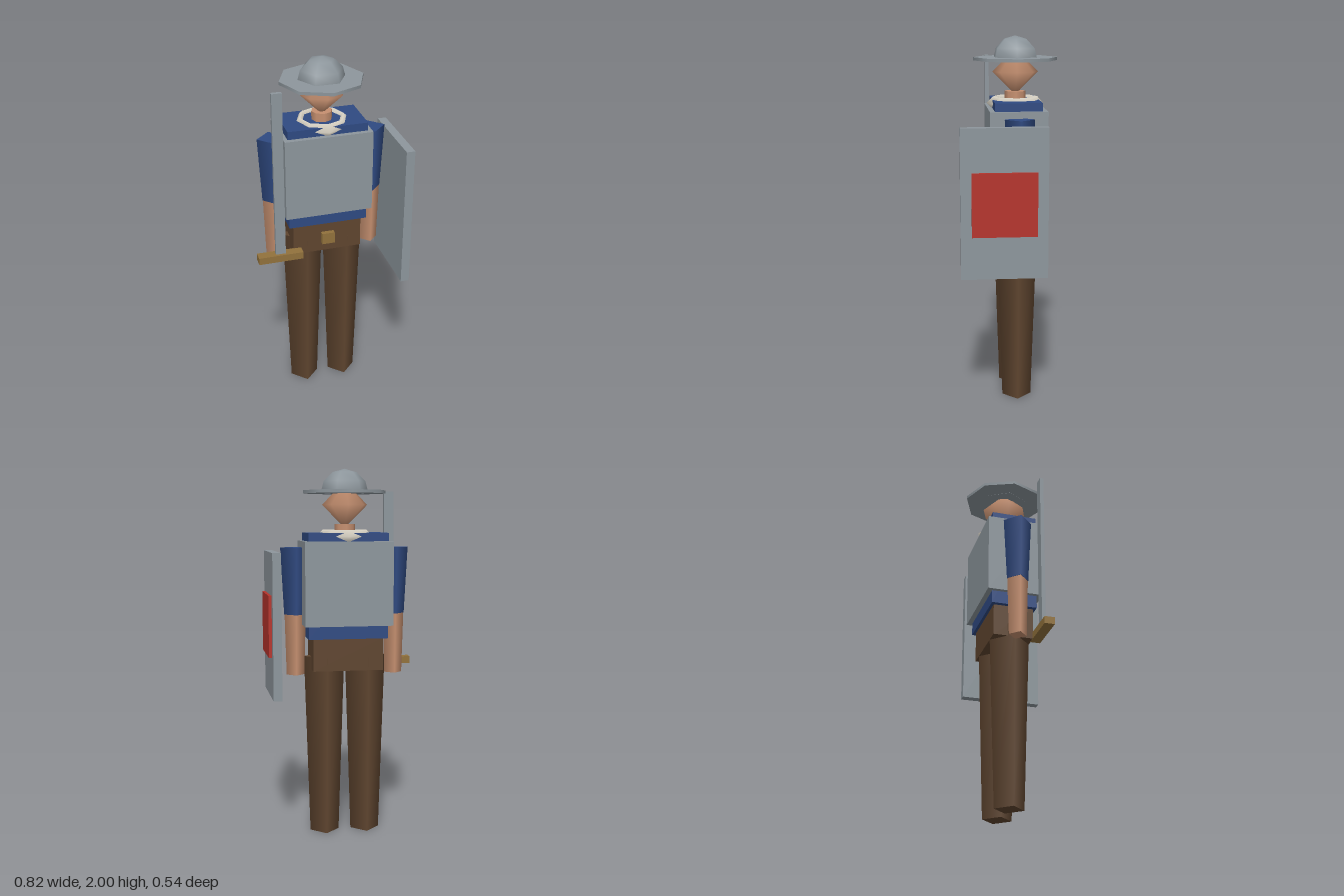
import * as THREE from 'three';

const mat = (name, color) => {
  const m = new THREE.MeshStandardMaterial({ color });
  m.name = name;
  return m;
};

export function createModel() {
  const steel = mat('steel', 0x8d969c);
  const cloth = mat('blueCloth', 0x2f4a82);
  const skin = mat('skin', 0xc69070);
  const leather = mat('brownLeather', 0x5f452f);
  const brass = mat('brass', 0x92723c);
  const red = mat('redPaint', 0xb5342c);
  const linen = mat('linen', 0xdcd6c8);

  const model = new THREE.Group();
  model.name = 'footSoldier';

  // The figure stands slightly off the origin because of the shield and sword
  const CX = -0.015, CZ = -0.047;

  const add = (name, geometry, material, x, y, z) => {
    const mesh = new THREE.Mesh(geometry, material);
    mesh.name = name;
    mesh.position.set(x, y, z);
    model.add(mesh);
    return mesh;
  };
  // Box given by its limits on each axis
  const box = (name, material, [x0, x1], [y0, y1], [z0, z1]) =>
    add(name, new THREE.BoxGeometry(x1 - x0, y1 - y0, z1 - z0), material,
      (x0 + x1) / 2, (y0 + y1) / 2, (z0 + z1) / 2);
  // Upright tapered limb between two heights
  const limb = (name, material, x, y0, y1, rBottom, rTop, sides = 4) =>
    add(name, new THREE.CylinderGeometry(rTop, rBottom, y1 - y0, sides), material,
      x, (y0 + y1) / 2, CZ);

  // Torso
  box('tunic', cloth, [-0.232, 0.201], [1.094, 1.66], [-0.173, 0.078]);
  box('breastplate', steel, [-0.254, 0.223], [1.165, 1.616], [-0.201, 0.105]);
  box('hips', leather, [-0.208, 0.174], [0.919, 1.094], [-0.157, 0.063]);
  box('buckle', brass, [-0.052, 0.019], [0.972, 1.036], [0.05, 0.09]);

  // Legs and arms
  for (const [side, s] of [['left', 1], ['right', -1]]) {
    limb(side + 'Leg', leather, CX + s * 0.114, 0, 0.99, 0.08, 0.112);
    limb(side + 'Sleeve', cloth, CX + s * 0.273, 1.22, 1.582, 0.06, 0.079);
    limb(side + 'Forearm', skin, CX + s * 0.273, 0.89, 1.22, 0.049, 0.058);
  }

  // Collar, neck and head
  const collar = add('collar', new THREE.TorusGeometry(0.12, 0.035, 4, 8), linen, CX, 1.641, CZ);
  collar.rotation.x = Math.PI / 2;
  limb('neck', skin, CX, 1.64, 1.706, 0.056, 0.056, 8);
  add('head', new THREE.SphereGeometry(0.124, 8, 2), skin, CX, 1.809, CZ);

  // Helmet
  limb('helmetBrim', steel, CX, 1.869, 1.886, 0.226, 0.226, 8);
  add('helmetDome', new THREE.SphereGeometry(0.132, 6, 3, 0, Math.PI * 2, 0, Math.PI / 2),
    steel, CX, 1.868, CZ);

  // Sword held upright on the right
  box('swordBlade', steel, [-0.316, -0.261], [0.956, 1.883], [0.079, 0.1]);
  box('swordGuard', brass, [-0.413, -0.166], [0.917, 0.957], [0.06, 0.116]);

  // Shield carried on the left
  box('shield', steel, [0.347, 0.394], [0.768, 1.557], [-0.184, 0.27]);
  box('shieldPanel', red, [0.394, 0.411], [0.995, 1.329], [-0.127, 0.213]);

  return model;
}
